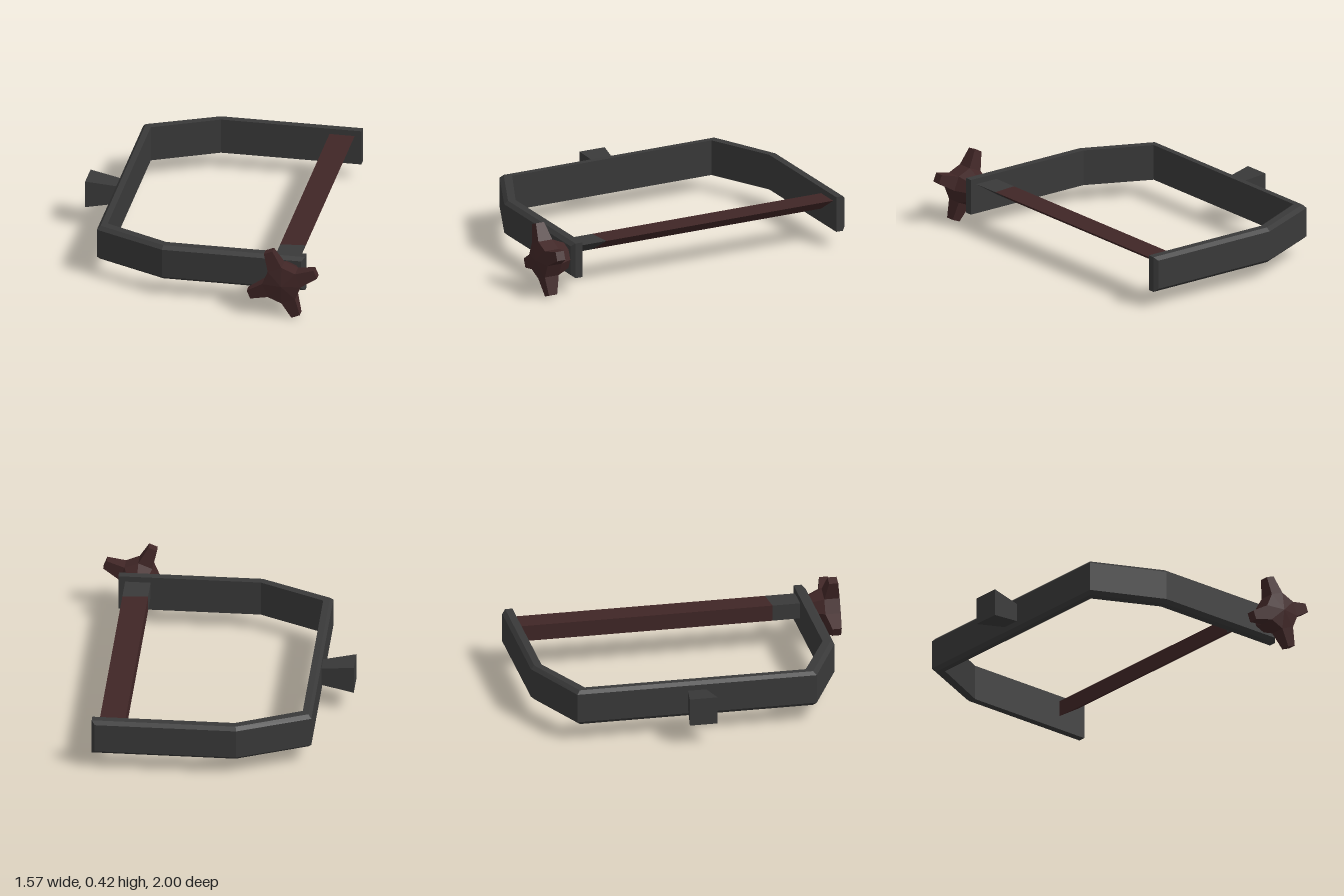
import * as THREE from 'three';
import { ConvexGeometry } from 'three/addons/geometries/ConvexGeometry.js';

const grey = new THREE.MeshStandardMaterial({ color: 0x393939 });
grey.name = 'dark grey metal';
const brown = new THREE.MeshStandardMaterial({ color: 0x402626 });
brown.name = 'dark red brown';

// Flat-sided solid around a list of [x, y, z] corners
function solid(name, corners, material) {
  const mesh = new THREE.Mesh(new ConvexGeometry(corners.map(c => new THREE.Vector3(...c))), material);
  mesh.name = name;
  return mesh;
}

// C-shaped band, chamfered along its outer edges
function makeFrame() {
  const frame = new THREE.Group();
  frame.name = 'frame';
  const outer = [[0.66, -1], [-0.17, -1], [-0.595, -0.81], [-0.595, 0.62], [-0.17, 0.813], [0.66, 0.813]];
  const inner = [[0.68, -0.935], [-0.157, -0.935], [-0.54, -0.755], [-0.54, 0.565], [-0.157, 0.745], [0.68, 0.745]];
  const sections = outer.map(([ox, oz], i) => {
    const [ix, iz] = inner[i];
    const isEnd = i === 0 || i === outer.length - 1;
    const mx = isEnd ? 0.68 : ix + (ox - ix) * 0.67;
    const mz = iz + (oz - iz) * 0.67;
    return [
      [ix, 0.105, iz], [ix, 0.32, iz], [mx, 0.105, mz], [mx, 0.32, mz],
      [ox, 0.125, oz], [ox, 0.30, oz],
    ];
  });
  for (let i = 0; i < sections.length - 1; i++) {
    frame.add(solid('frameSegment', [...sections[i], ...sections[i + 1]], grey));
  }
  return frame;
}

// Three-sided bar: flat top, upright inner side, sloped underside
function barSection(zInner, zOuter) {
  return [[0.49, 0.286, zInner], [0.49, 0.19, zInner], [0.64, 0.286, zOuter]];
}

// Four-armed hand knob facing the front
function makeKnob() {
  const knob = new THREE.Group();
  knob.name = 'knob';
  const cx = 0.575, cy = 0.215;
  const step = Math.PI / 4;
  const first = THREE.MathUtils.degToRad(22.4);
  const polar = (r, a, z) => [cx + r * Math.cos(a), cy + r * Math.sin(a), z];
  const ring = (r, z) => Array.from({ length: 8 }, (_, i) => polar(r, first + (i + 0.5) * step, z));

  knob.add(solid('knobNeck', [...ring(0.08, 0.81), ...ring(0.115, 0.89)], brown));
  knob.add(solid('knobHub', [...ring(0.115, 0.89), ...ring(0.115, 0.982), [cx, cy, 1]], brown));

  for (let i = 0; i < 4; i++) {
    const a = first + i * Math.PI / 2;
    const corners = [];
    for (const side of [-1, 1]) {
      const root = a + side * step / 2;
      const tip = a + side * 0.125;
      corners.push(polar(0.115, root, 0.89), polar(0.115, root, 0.982));
      corners.push(polar(0.217, tip, 0.914), polar(0.217, tip, 0.968));
    }
    knob.add(solid('knobArm', corners, brown));
  }
  return knob;
}

// Flared square stub on the side of the frame
function makeStub() {
  const corners = [];
  for (const [x, h] of [[-0.787, 0.083], [-0.58, 0.053]]) {
    for (const sy of [-1, 1]) {
      for (const sz of [-1, 1]) corners.push([x, 0.213 + sy * h, -0.095 + sz * h]);
    }
  }
  return solid('sideStub', corners, grey);
}

export function createModel() {
  const model = new THREE.Group();
  model.name = 'clamp';
  model.add(makeFrame());
  model.add(solid('bar', [...barSection(-0.94, -0.94), ...barSection(0.58, 0.565)], brown));
  model.add(solid('barCollar', [...barSection(0.58, 0.565), ...barSection(0.75, 0.75)], grey));
  model.add(makeKnob());
  model.add(makeStub());
  return model;
}
